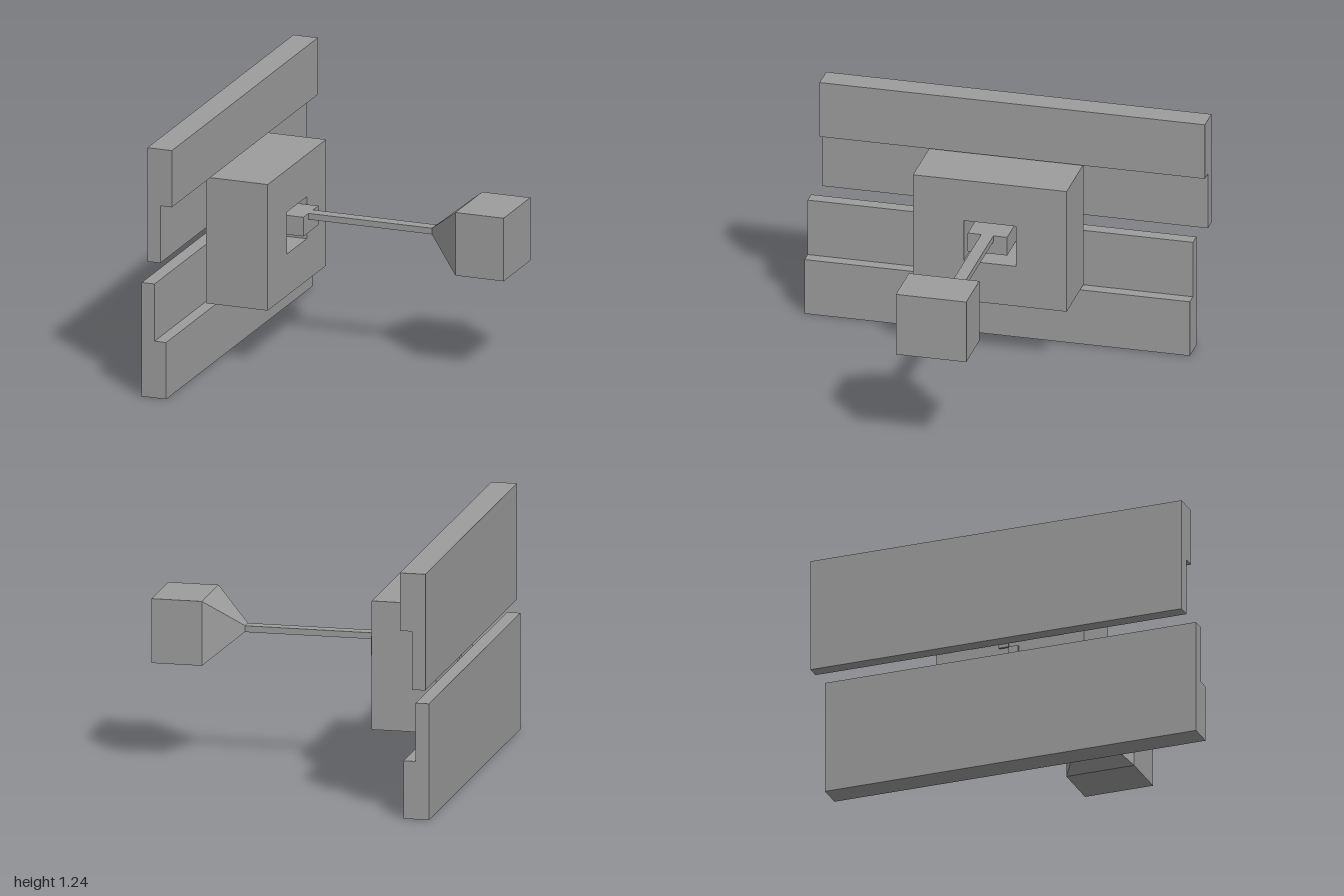
import * as THREE from 'three';

const material = new THREE.MeshStandardMaterial({ color: 0x9c9c9c, flatShading: true });

function addMesh(parent, name, geometry) {
  const mesh = new THREE.Mesh(geometry, material);
  mesh.name = name;
  parent.add(mesh);
  return mesh;
}

// Box given by its lower and upper limits on each axis
function addBox(parent, name, [x0, x1], [y0, y1], [z0, z1]) {
  const geometry = new THREE.BoxGeometry(x1 - x0, y1 - y0, z1 - z0);
  geometry.translate((x0 + x1) / 2, (y0 + y1) / 2, (z0 + z1) / 2);
  return addMesh(parent, name, geometry);
}

function rectangle(Type, x0, x1, y0, y1) {
  return new Type([[x0, y0], [x1, y0], [x1, y1], [x0, y1]].map(p => new THREE.Vector2(...p)));
}

// Stepped plank: thick outer half, thin inner half, extruded along z
function addRail(parent, name, outerY, stepY, innerY, z0) {
  const profile = [[-0.777, outerY], [-0.65, outerY], [-0.65, stepY],
    [-0.71, stepY], [-0.71, innerY], [-0.777, innerY]];
  const shape = new THREE.Shape(profile.map(p => new THREE.Vector2(...p)));
  const geometry = new THREE.ExtrudeGeometry(shape, { depth: 1.925, bevelEnabled: false });
  addMesh(parent, name, geometry.translate(0, 0, z0));
}

export function createModel() {
  const group = new THREE.Group();

  // Two offset rails, each with a narrow strip on its inner face
  addRail(group, 'upperRail', 1.24, 0.952, 0.662, -1);
  addRail(group, 'lowerRail', 0, 0.288, 0.578, -0.925);
  addBox(group, 'upperStrip', [-0.71, -0.698], [0.645, 0.952], [-0.05, 0]);
  addBox(group, 'lowerStrip', [-0.71, -0.698], [0.288, 0.645], [0, 0.05]);

  // Housing with a square opening in its outer face
  const housing = new THREE.Group();
  housing.name = 'housing';
  const face = rectangle(THREE.Shape, -0.384, 0.384, 0.3, 0.94);
  face.holes.push(rectangle(THREE.Path, -0.13, 0.13, 0.512, 0.725));
  const shell = new THREE.ExtrudeGeometry(face, { depth: 0.27, bevelEnabled: false });
  shell.rotateY(Math.PI / 2).translate(-0.635, 0, 0);
  addMesh(housing, 'housingBody', shell);
  addBox(housing, 'housingBack', [-0.685, -0.635], [0.3, 0.94], [-0.384, 0.384]);
  group.add(housing);

  // Lever: pivot block, rod and grip
  const lever = new THREE.Group();
  lever.name = 'lever';
  addBox(lever, 'pivotBlock', [-0.635, -0.295], [0.598, 0.695], [-0.105, 0.092]);
  addBox(lever, 'rod', [-0.295, 0.347], [0.664, 0.695], [-0.036, 0.025]);
  addBox(lever, 'grip', [0.527, 0.777], [0.52, 0.84], [-0.18, 0.172]);

  // Taper: shrink the inner end of a box to the rod's section
  const taper = new THREE.BoxGeometry(0.18, 0.32, 0.352);
  const position = taper.attributes.position;
  for (let i = 0; i < position.count; i++) {
    if (position.getX(i) < 0) {
      position.setY(i, Math.sign(position.getY(i)) * 0.0155);
      position.setZ(i, Math.sign(position.getZ(i)) * 0.03);
    }
  }
  taper.computeVertexNormals();
  addMesh(lever, 'gripTaper', taper.translate(0.437, 0.68, -0.004));
  group.add(lever);

  return group;
}
